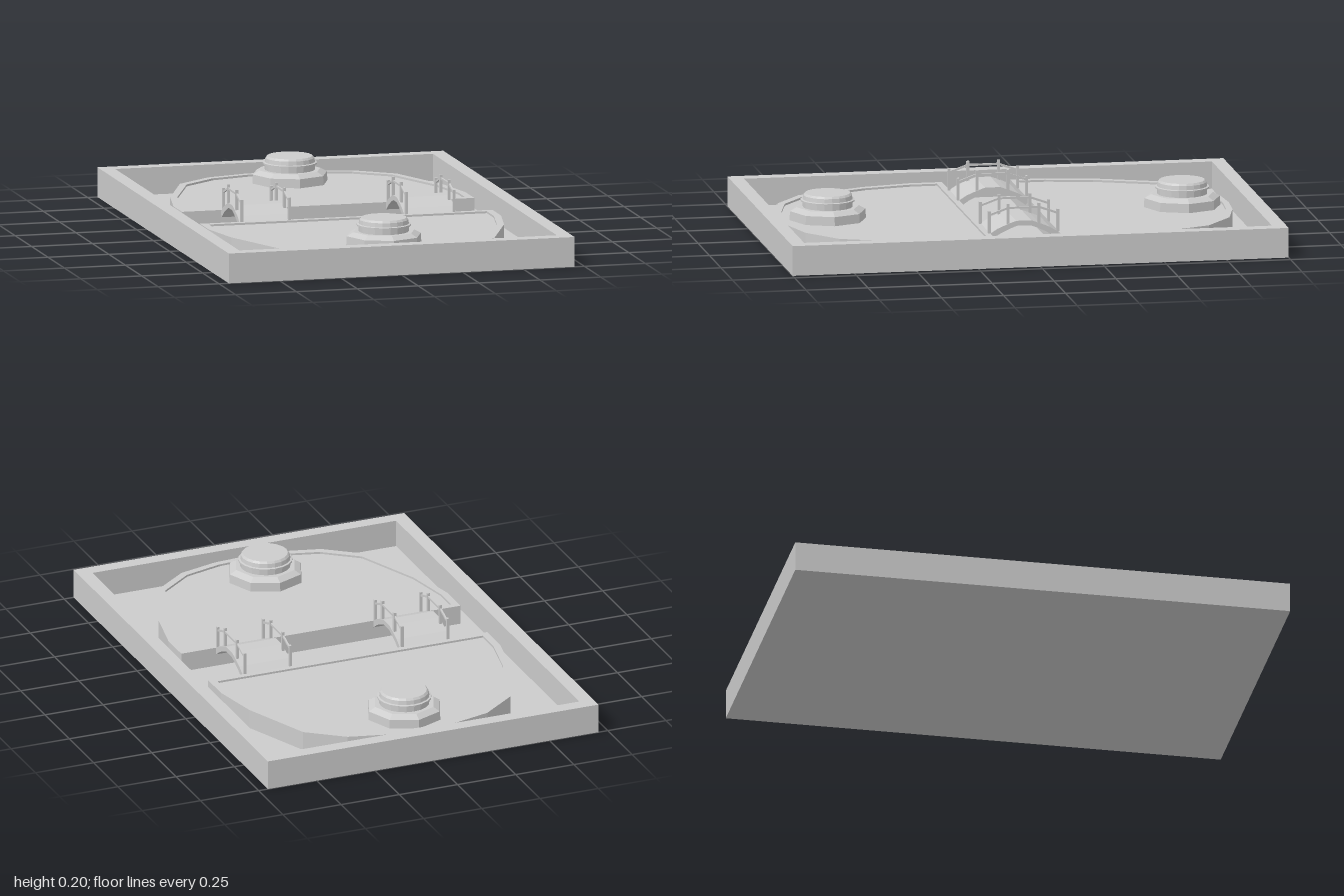
import * as THREE from 'three';

const material = new THREE.MeshStandardMaterial({ color: 0xcccccc, flatShading: true, side: THREE.DoubleSide });

function add(parent, name, geometry, x = 0, y = 0, z = 0) {
  const mesh = new THREE.Mesh(geometry, material);
  mesh.name = name;
  mesh.position.set(x, y, z);
  parent.add(mesh);
  return mesh;
}

// Extrudes a plan outline of [x, z] points upward from y = 0
function slab(outline, height, hole) {
  const toPoints = pts => pts.map(([x, z]) => new THREE.Vector2(x, -z));
  const shape = new THREE.Shape(toPoints(outline));
  if (hole) shape.holes.push(new THREE.Path(toPoints(hole)));
  return new THREE.ExtrudeGeometry(shape, { depth: height, bevelEnabled: false }).rotateX(-Math.PI / 2);
}

const rect = (x, z) => [[-x, -z], [x, -z], [x, z], [-x, z]];

// Half outline as [x, distance from the middle], mirrored across x
function mirrored(half, side) {
  const other = half.slice(0, -1).reverse().map(([x, d]) => [-x, d]);
  return [...half, ...other].map(([x, d]) => [x, side * d + 0.0175]);
}

const OUTER = [[0.6, 0.1375], [0.6, 0.27], [0.56, 0.465], [0.445, 0.745], [0.3, 0.855], [0.14, 0.897], [0, 0.907]];
const INNER = [[0.57, 0.163], [0.57, 0.27], [0.532, 0.46], [0.422, 0.725], [0.285, 0.83], [0.13, 0.872], [0, 0.882]];

// Half-round platform with a low rim
function createPlatform(side) {
  const group = new THREE.Group();
  const outer = mirrored(OUTER, side), inner = mirrored(INNER, side);
  add(group, 'platformDeck', slab(inner, 0.07), 0, 0.01, 0);
  add(group, 'platformRim', slab(outer, 0.078, inner), 0, 0.01, 0);
  return group;
}

// Octagonal plinth carrying a round stepped pedestal
function createPedestal() {
  const group = new THREE.Group();
  const lathe = (pts, sides) => new THREE.LatheGeometry(pts.map(p => new THREE.Vector2(...p)), sides);
  add(group, 'plinth', lathe([[0.155, 0.07], [0.152, 0.116], [0.125, 0.131], [0, 0.131]], 8));
  add(group, 'pedestal', lathe([[0.1, 0.125], [0.1, 0.153], [0.108, 0.154], [0.108, 0.16],
    [0.1, 0.162], [0.097, 0.178], [0.09, 0.186], [0, 0.186]], 20));
  return group;
}

// Arched footbridge with a railing on each side
function createBridge() {
  const group = new THREE.Group();
  const top = [[-0.148, 0.08], [-0.105, 0.107], [-0.062, 0.125], [-0.03, 0.136]];
  const all = [...top, ...top.slice().reverse().map(([z, y]) => [-z, y])];
  const under = all.slice().reverse().map(([z, y]) => [z * 0.9, y - 0.02]);
  const shape = new THREE.Shape([...all, ...under].map(([z, y]) => new THREE.Vector2(z, y)));
  const deck = new THREE.ExtrudeGeometry(shape, { depth: 0.214, bevelEnabled: false });
  deck.translate(0, 0, -0.107).rotateY(-Math.PI / 2);
  add(group, 'bridgeDeck', deck);

  const posts = [[-0.138, 0.08, 0.177], [-0.062, 0.115, 0.204], [0.062, 0.115, 0.204], [0.138, 0.08, 0.177]];
  for (const x of [-0.098, 0.098]) {
    for (const [z, low, high] of posts) {
      add(group, 'railPost', new THREE.BoxGeometry(0.011, high - low, 0.011), x, (low + high) / 2, z);
    }
    for (let i = 0; i < 3; i++) {
      const [z0, , y0] = posts[i], [z1, , y1] = posts[i + 1];
      const length = Math.hypot(z1 - z0, y1 - y0);
      const rail = add(group, 'handrail', new THREE.BoxGeometry(0.007, 0.008, length),
        x, (y0 + y1) / 2 - 0.016, (z0 + z1) / 2);
      rail.rotation.x = -Math.atan2(y1 - y0, z1 - z0);
    }
  }
  return group;
}

export function createModel() {
  const model = new THREE.Group();
  model.name = 'walledCourt';

  // Shallow tray
  add(model, 'trayFloor', new THREE.BoxGeometry(1.42, 0.01, 2), 0, 0.005, 0);
  add(model, 'trayWall', slab(rect(0.71, 1), 0.11, rect(0.652, 0.943)), 0, 0.01, 0);

  for (const side of [-1, 1]) {
    const platform = createPlatform(side);
    platform.name = side < 0 ? 'backPlatform' : 'frontPlatform';
    model.add(platform);

    const pedestal = createPedestal();
    pedestal.name = side < 0 ? 'backPedestal' : 'frontPedestal';
    pedestal.position.z = 0.0125 + side * 0.7145;
    model.add(pedestal);

    const bridge = createBridge();
    bridge.name = side < 0 ? 'rightBridge' : 'leftBridge';
    bridge.position.set(0.006 + side * 0.338, 0, 0.02);
    model.add(bridge);
  }
  return model;
}
